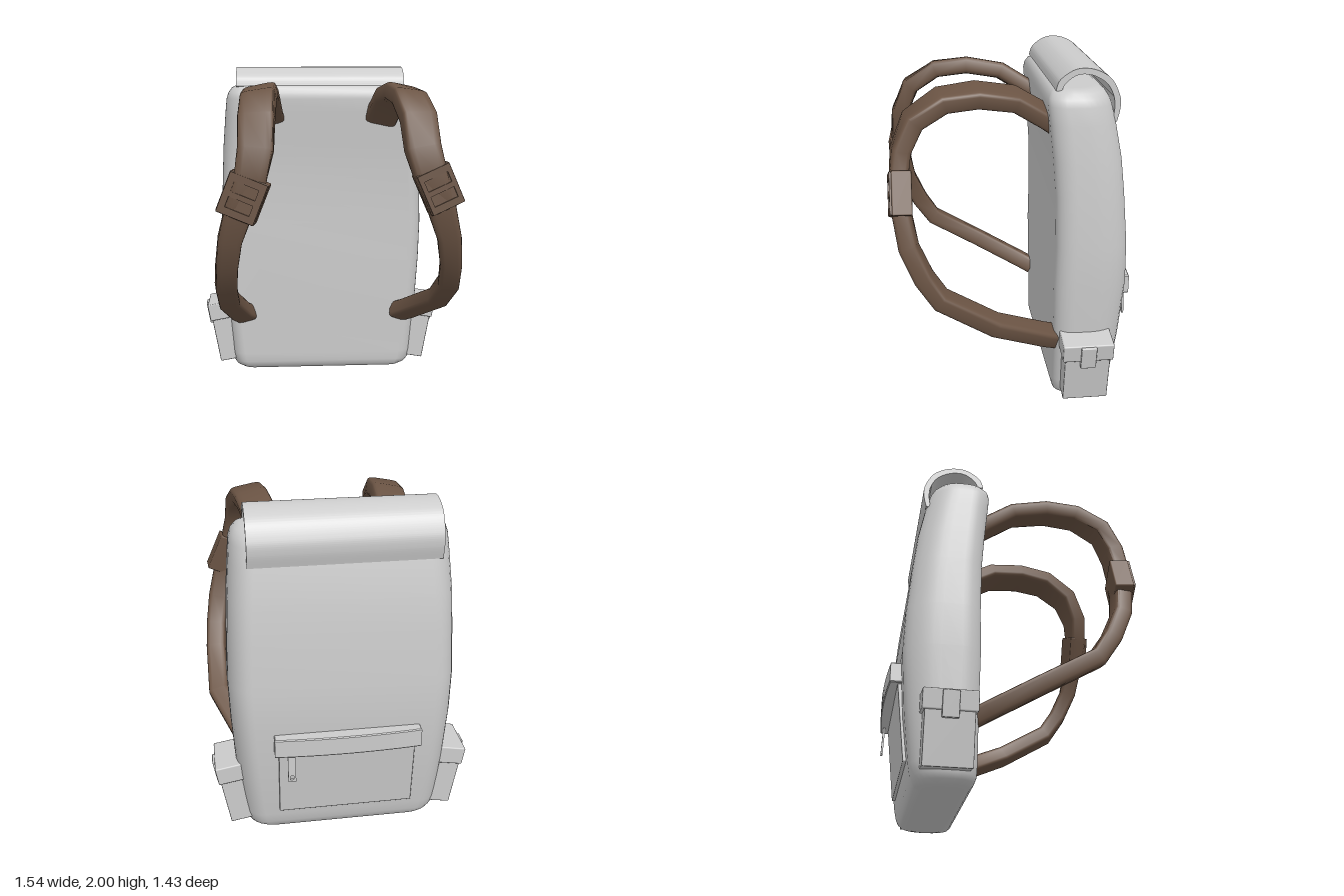
import * as THREE from 'three';
import { mergeVertices, toCreasedNormals } from 'three/addons/utils/BufferGeometryUtils.js';
import { RoundedBoxGeometry } from 'three/addons/geometries/RoundedBoxGeometry.js';

const cloth = new THREE.MeshStandardMaterial({ color: 0xcccccc });
const leather = new THREE.MeshStandardMaterial({ color: 0x6b5444 });

function add(parent, name, geometry, material, x = 0, y = 0, z = 0) {
  const mesh = new THREE.Mesh(geometry, material);
  mesh.name = name;
  mesh.position.set(x, y, z);
  parent.add(mesh);
  return mesh;
}

// Closed skin over equally long rings, each counter-clockwise about the sweep direction
function loft(rings) {
  const n = rings[0].length, pos = [], index = [];
  rings.forEach(ring => ring.forEach(p => pos.push(p.x, p.y, p.z)));
  for (let i = 0; i < rings.length - 1; i++) {
    for (let j = 0; j < n; j++) {
      const a = i * n + j, b = i * n + (j + 1) % n;
      index.push(a, b, a + n, b, b + n, a + n);
    }
  }
  [0, rings.length - 1].forEach((r, end) => {
    const c = rings[r].reduce((s, p) => s.add(p), new THREE.Vector3()).divideScalar(n);
    const ci = pos.length / 3;
    pos.push(c.x, c.y, c.z);
    for (let j = 0; j < n; j++) {
      const a = r * n + j, b = r * n + (j + 1) % n;
      index.push(...(end ? [ci, a, b] : [ci, b, a]));
    }
  });
  const g = new THREE.BufferGeometry();
  g.setAttribute('position', new THREE.Float32BufferAttribute(pos, 3));
  g.setIndex(index);
  g.computeVertexNormals();
  return g;
}

// Rounded outline of the bag at one height, wider corners at the back
function bagRing([y, hw, zf, zb]) {
  const ring = [], depth = zf - zb, steps = 7;
  const back = [0.13, Math.min(0.2, depth * 0.48)], front = [0.09, Math.min(0.11, depth * 0.4)];
  const corners = [[1, 1, front], [-1, 1, front], [-1, -1, back], [1, -1, back]];
  corners.forEach(([sx, sz, [rx, rz]], k) => {
    for (let i = 0; i <= steps; i++) {
      const a = (k + i / steps) * Math.PI / 2;
      ring.push(new THREE.Vector3(
        sx * (hw - rx) + rx * Math.cos(a), y,
        (sz > 0 ? zf - rz : zb + rz) + rz * Math.sin(a)));
    }
  });
  return ring.reverse();
}

function bagGeometry() {
  // height, half width, front z, back z
  const rows = [
    [0, 0.5, -0.29, -0.5], [0.01, 0.545, -0.25, -0.54], [0.03, 0.575, -0.232, -0.555],
    [0.06, 0.593, -0.222, -0.568], [0.12, 0.605, -0.22, -0.58], [0.4, 0.628, -0.22, -0.615],
    [0.75, 0.648, -0.215, -0.642], [1.0, 0.655, -0.22, -0.635], [1.3, 0.642, -0.215, -0.61],
    [1.5, 0.632, -0.2, -0.588], [1.7, 0.615, -0.18, -0.55], [1.8, 0.605, -0.17, -0.525],
    [1.84, 0.592, -0.175, -0.51], [1.87, 0.57, -0.192, -0.49], [1.885, 0.54, -0.215, -0.465],
    [1.89, 0.5, -0.245, -0.44],
  ];
  return loft(rows.map(bagRing));
}

// Arched sheet over the top of the bag
function topRollGeometry() {
  const v = (u, y) => new THREE.Vector2(u, y);
  const shape = new THREE.Shape();
  shape.moveTo(0.21, 1.88);
  shape.splineThru([v(0.235, 1.94), v(0.32, 1.993), v(0.42, 1.99), v(0.51, 1.94), v(0.56, 1.85), v(0.567, 1.78), v(0.55, 1.7)]);
  shape.lineTo(0.525, 1.7);
  shape.splineThru([v(0.535, 1.78), v(0.525, 1.85), v(0.485, 1.915), v(0.41, 1.958), v(0.33, 1.962), v(0.265, 1.92), v(0.24, 1.87)]);
  const g = new THREE.ExtrudeGeometry(shape, { depth: 1.06, bevelEnabled: false, curveSegments: 28 });
  g.rotateY(Math.PI / 2).translate(-0.54, 0, 0);
  return toCreasedNormals(g, 0.6);
}

// Back pocket lid: bowed outward, extruded upward
function pocketLidGeometry() {
  const s = new THREE.Shape();
  s.moveTo(-0.43, 0.6);
  s.lineTo(0.41, 0.6);
  s.lineTo(0.41, 0.692);
  s.quadraticCurveTo(-0.01, 0.728, -0.43, 0.692);
  s.closePath();
  const g = new THREE.ExtrudeGeometry(s, { depth: 0.105, bevelThickness: 0.006, bevelSize: 0.005, bevelSegments: 1 });
  return toCreasedNormals(g.rotateX(-Math.PI / 2).translate(0, 0.607, 0), 0.5);
}

function rectPath(Type, cx, cy, w, h) {
  return new Type([[-1, -1], [1, -1], [1, 1], [-1, 1]].map(
    ([a, b]) => new THREE.Vector2(cx + a * w / 2, cy + b * h / 2)));
}

// Plate with rectangular holes
function plateGeometry(w, h, depth, holes) {
  const s = rectPath(THREE.Shape, 0, 0, w, h);
  s.holes = holes.map(r => rectPath(THREE.Path, ...r));
  return new THREE.ExtrudeGeometry(s, { depth, bevelEnabled: false });
}

// Band swept along a path, flat with rounded edges, its outer edge rolled downward
function strapGeometry(path, side) {
  const pts = path.map(([x, y, z]) => new THREE.Vector3(x, y, z));
  const across = new THREE.Vector3(1, -0.2 * side, 0);
  const rings = pts.map((p, i) => {
    const t = pts[Math.min(i + 1, pts.length - 1)].clone().sub(pts[Math.max(i - 1, 0)]).normalize();
    const n = t.clone().cross(across).normalize();
    const w = n.clone().cross(t);
    const [hw, ht] = path[i].slice(3);
    const ring = [];
    for (let k = 0; k < 16; k++) {
      const a = (k + 0.5) / 16 * Math.PI * 2, c = Math.cos(a), s = Math.sin(a);
      ring.push(p.clone()
        .addScaledVector(w, hw * Math.sign(c) * Math.abs(c) ** 0.35)
        .addScaledVector(n, ht * Math.sign(s) * Math.abs(s) ** 0.35));
    }
    return ring;
  });
  return toCreasedNormals(mergeVertices(loft(rings)), 0.75);
}

function buckle(name, x, y, yaw, tilt, w) {
  const g = new THREE.Group();
  g.name = name;
  add(g, 'buckleBase', new RoundedBoxGeometry(w, 0.24, 0.11, 1, 0.008), leather);
  add(g, 'buckleFrame', plateGeometry(w - 0.01, 0.23, 0.012,
    [[0, 0.045, 0.14, 0.06], [0, -0.045, 0.14, 0.06]]), leather, 0, 0, 0.053);
  g.position.set(x, y, 0.637);
  g.rotation.set(-0.04, yaw, tilt);
  return g;
}

// Side pouch leaning outward, turned half round for the -x side
function pouch(side) {
  const g = new THREE.Group();
  g.name = side > 0 ? 'leftPouch' : 'rightPouch';
  add(g, 'pouchBox', new RoundedBoxGeometry(0.13, 0.36, 0.265, 1, 0.006), cloth, 0, 0.18, 0);
  add(g, 'pouchLid', new RoundedBoxGeometry(0.164, 0.112, 0.295, 1, 0.008), cloth, -0.006, 0.346, 0);
  add(g, 'pouchTab', new RoundedBoxGeometry(0.04, 0.145, 0.09, 1, 0.006), cloth, 0.071, 0.322, 0);
  g.position.set(side * 0.615, 0.066, -0.395);
  g.rotation.set(0, side > 0 ? 0 : Math.PI, -side * 0.175, 'ZYX');
  return g;
}

export function createModel() {
  const model = new THREE.Group();
  model.name = 'backpack';
  add(model, 'bag', bagGeometry(), cloth);
  add(model, 'topRoll', topRollGeometry(), cloth);

  // Back pocket
  const panel = add(model, 'pocketPanel', new RoundedBoxGeometry(0.8, 0.48, 0.04, 1, 0.006), cloth, -0.01, 0.4, -0.61);
  panel.rotation.x = -0.11;
  add(model, 'pocketLid', pocketLidGeometry(), cloth);
  const pull = add(model, 'zipperPull', plateGeometry(0.045, 0.17, 0.012, [[0, -0.06, 0.02, 0.025]]), cloth, 0.32, 0.515, -0.69);
  pull.rotation.x = 0.04;

  // Shoulder straps: y, z, x on the left, x on the right, half width, half thickness
  const path = [
    [1.66, -0.24, 0.37, -0.335, 0.1, 0.05], [1.71, -0.17, 0.38, -0.35, 0.1, 0.05],
    [1.815, 0, 0.405, -0.37, 0.1, 0.05], [1.85, 0.21, 0.435, -0.385, 0.1, 0.052],
    [1.83, 0.4, 0.455, -0.395, 0.1, 0.053], [1.73, 0.56, 0.48, -0.405, 0.1, 0.054],
    [1.57, 0.63, 0.495, -0.41, 0.098, 0.054], [1.42, 0.645, 0.54, -0.44, 0.09, 0.052],
    [1.26, 0.637, 0.6, -0.5, 0.08, 0.052], [1.07, 0.605, 0.66, -0.56, 0.067, 0.053],
    [0.9, 0.53, 0.69, -0.585, 0.062, 0.053], [0.765, 0.44, 0.7, -0.595, 0.062, 0.053],
    [0.59, 0.14, 0.7, -0.595, 0.064, 0.053], [0.43, -0.16, 0.555, -0.535, 0.068, 0.053],
    [0.39, -0.24, 0.51, -0.505, 0.068, 0.053],
  ];
  [['leftStrap', 2, 1], ['rightStrap', 3, -1]].forEach(([name, k, side]) =>
    add(model, name, strapGeometry(path.map(p => [p[k], p[0], p[1], p[4], p[5]]), side), leather));
  model.add(buckle('leftBuckle', 0.585, 1.35, 0.07, 0.42, 0.2));
  model.add(buckle('rightBuckle', -0.48, 1.31, -0.12, -0.38, 0.225));

  model.add(pouch(1), pouch(-1));
  return model;
}
